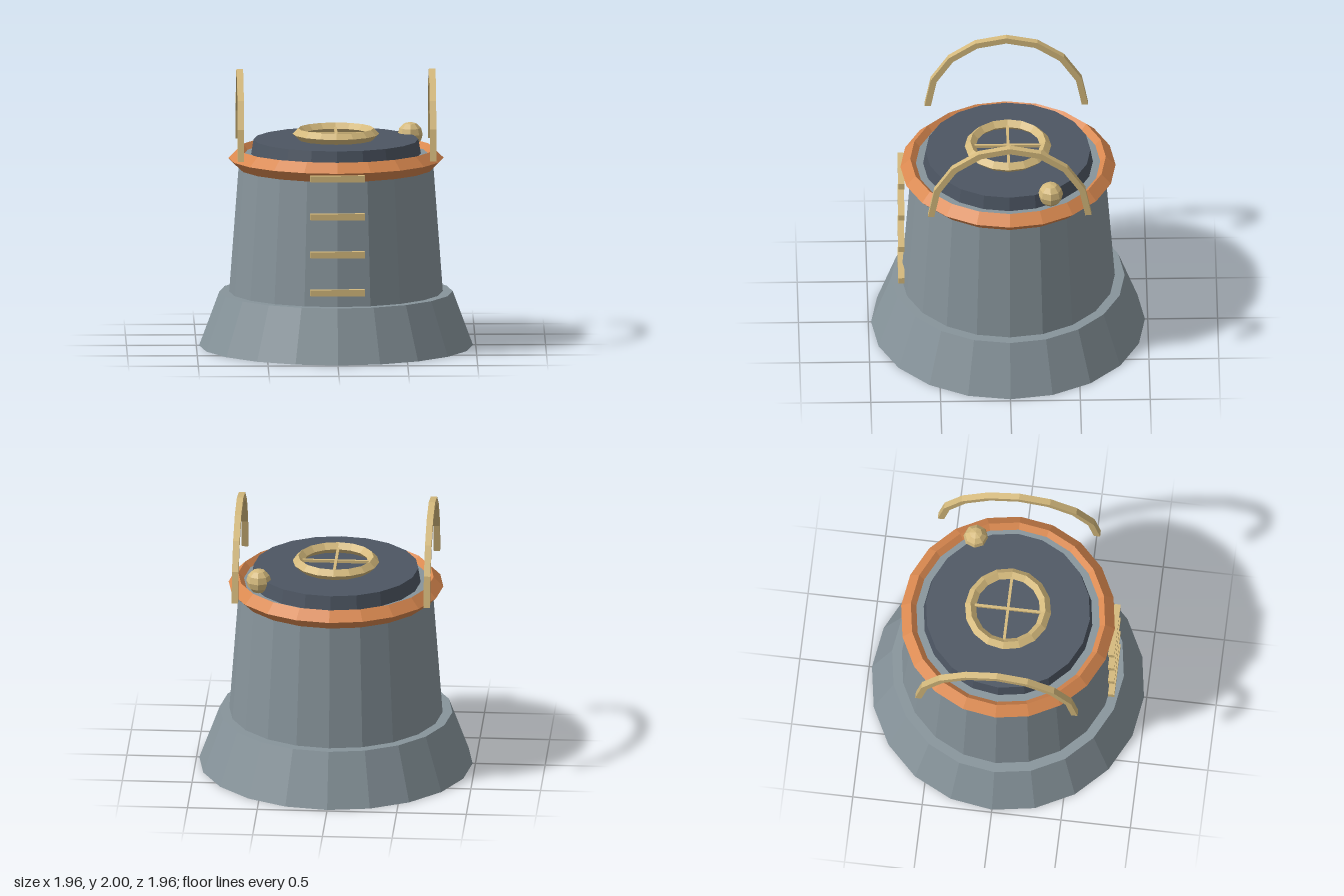
import * as THREE from 'three';

export function createModel() {
  const model = new THREE.Group();
  model.name = 'hatchTower';

  const paint = (name, color) => {
    const m = new THREE.MeshStandardMaterial({ color, flatShading: true });
    m.name = name;
    return m;
  };
  const steel = paint('steel grey', 0x87949b);
  const slate = paint('dark slate', 0x4d5663);
  const copper = paint('copper', 0xd9884f);
  const brass = paint('brass', 0xd4b97c);

  const add = (name, geometry, material, x = 0, y = 0, z = 0, parent = model) => {
    const mesh = new THREE.Mesh(geometry, material);
    mesh.name = name;
    mesh.position.set(x, y, z);
    parent.add(mesh);
    return mesh;
  };
  // Tapered 20-sided drum between two heights
  const drum = (name, rTop, rBottom, y0, y1, material) =>
    add(name, new THREE.CylinderGeometry(rTop, rBottom, y1 - y0, 20), material, 0, (y0 + y1) / 2);
  // Flat ring with a diamond cross-section
  const ring = (radius, tube, sides) =>
    new THREE.TorusGeometry(radius, tube, 4, sides).rotateX(-Math.PI / 2);

  // Stacked drums and rim
  drum('base', 0.835, 0.98, 0, 0.39, steel);
  drum('body', 0.69, 0.765, 0.385, 1.385, steel);
  drum('lid', 0.59, 0.61, 1.37, 1.49, slate);
  add('rim', ring(0.7, 0.07, 20), copper, 0, 1.355);

  // Hand wheel with crossed spokes
  const wheel = new THREE.Group();
  wheel.name = 'handWheel';
  wheel.position.y = 1.53;
  model.add(wheel);
  add('wheelRing', ring(0.27, 0.04, 16), brass, 0, 0, 0, wheel);
  add('spokeAcross', new THREE.BoxGeometry(0.5, 0.02, 0.02), brass, 0, 0, 0, wheel);
  add('spokeAlong', new THREE.BoxGeometry(0.02, 0.02, 0.5), brass, 0, 0, 0, wheel);

  // Knob at the edge of the lid
  add('knob', new THREE.SphereGeometry(0.09, 8, 6), brass, 0.535, 1.48, -0.295);

  // Ladder rungs on the front
  for (let i = 0; i < 4; i++) {
    add('rung', new THREE.BoxGeometry(0.39, 0.046, 0.046), brass, 0, 0.493 + i * 0.275, 0.766);
  }

  // Arched side rails, eight straight segments with a square section
  const outline = [];
  for (let i = 0; i <= 8; i++) {
    const a = (i / 8) * Math.PI;
    outline.push(new THREE.Vector2(Math.cos(a) * 0.585, Math.sin(a) * 0.585));
  }
  const inner = outline.map((p) => p.clone().multiplyScalar(0.54 / 0.585)).reverse();
  const arch = new THREE.ExtrudeGeometry(new THREE.Shape([...outline, ...inner]), {
    depth: 0.046,
    bevelEnabled: false,
  });
  arch.translate(0, 0, -0.023).rotateY(Math.PI / 2);
  add('leftRail', arch, brass, 0.688, 1.415);
  add('rightRail', arch, brass, -0.688, 1.415);

  return model;
}
